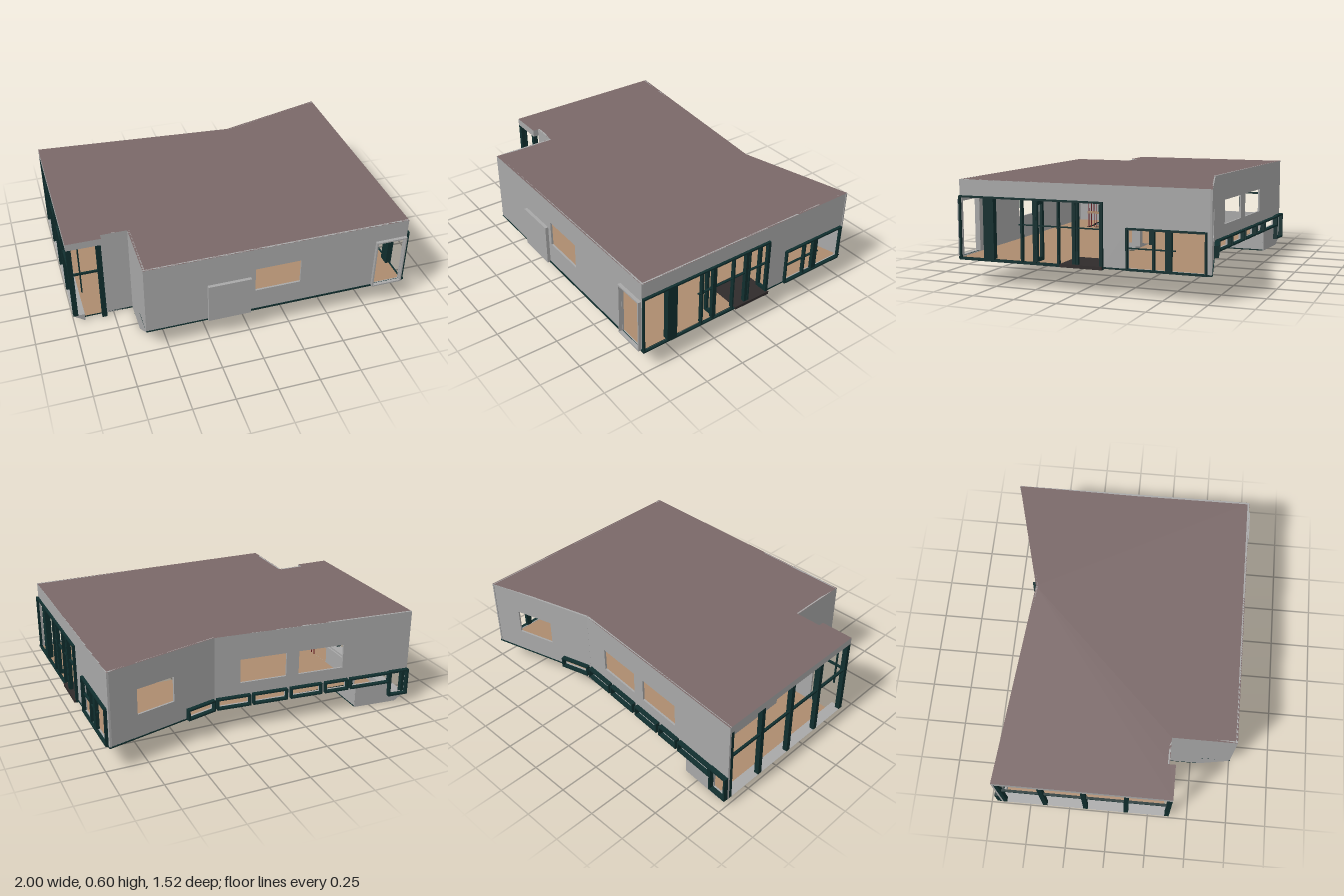
import * as THREE from 'three';

const mat = (name, color, side = THREE.FrontSide) => {
  const m = new THREE.MeshStandardMaterial({ color, side });
  m.name = name;
  return m;
};

export function createModel() {
  const model = new THREE.Group();
  model.name = 'building';
  const grey = mat('wall grey', 0xa8a8a8);
  const mauve = mat('roof mauve', 0x7a6868);
  const tan = mat('floor tan', 0xac8b6e);
  const tanSheet = mat('stair tan', 0xac8b6e, THREE.DoubleSide);
  const dark = mat('frame dark green', 0x102e2e);
  const red = mat('rod red', 0x6e1a22);
  const black = mat('mat black', 0x302b2b);

  const add = (parent, name, geo, m) => {
    const mesh = new THREE.Mesh(geo, m);
    mesh.name = name;
    parent.add(mesh);
    return mesh;
  };
  // box given by its limits
  const box = (parent, name, m, x0, x1, y0, y1, z0, z1) => {
    const mesh = add(parent, name, new THREE.BoxGeometry(x1 - x0, y1 - y0, z1 - z0), m);
    mesh.position.set((x0 + x1) / 2, (y0 + y1) / 2, (z0 + z1) / 2);
    return mesh;
  };
  const outline = (pts, holes = []) => {
    const s = new THREE.Shape(pts.map(p => new THREE.Vector2(...p)));
    for (const [a, b, c, d] of holes) {
      s.holes.push(new THREE.Path([[a, c], [a, d], [b, d], [b, c]].map(p => new THREE.Vector2(...p))));
    }
    return s;
  };
  const rect = (a, b, c, d) => [[a, c], [b, c], [b, d], [a, d]];
  const extrude = (shape, depth) => new THREE.ExtrudeGeometry(shape, { depth, bevelEnabled: false });
  // horizontal slab from plan points (x, z)
  const slab = (name, pts, y0, y1, mats, holes = []) => {
    const flip = pts.map(([x, z]) => [x, -z]);
    const geo = extrude(outline(flip, holes.map(([a, b, c, d]) => [a, b, -d, -c])), y1 - y0);
    geo.rotateX(-Math.PI / 2);
    geo.translate(0, y0, 0);
    return add(model, name, geo, mats);
  };
  // local frame along a wall: x runs p to q, z points outward
  const side = (name, [px, pz], [qx, qz]) => {
    const g = new THREE.Group();
    g.name = name;
    g.position.set(px, 0, pz);
    g.rotation.y = Math.atan2(-(qz - pz), qx - px);
    model.add(g);
    return g;
  };
  const panel = (g, name, pts, holes = [], t = 0.012) => {
    const geo = extrude(outline(pts, holes), t);
    geo.translate(0, 0, -t);
    return add(g, name, geo, grey);
  };
  const ring = (g, name, m, a, b, c, d, w, z0, z1) => {
    const geo = extrude(outline(rect(a, b, c, d), [[a + w, b - w, c + w, d - w]]), z1 - z0);
    geo.translate(0, 0, z0);
    return add(g, name, geo, m);
  };

  // roof
  slab('roof', [[-1, -0.68], [0.27, -0.57], [0.97, -0.76], [0.98, 0.74], [-0.63, 0.74],
    [-0.63, 0.35], [-0.79, 0.35], [-0.79, 0.385], [-1, 0.385]], 0.555, 0.6, [mauve, grey]);

  // main floor, open over the lower room, with a small shaft
  slab('mainFloor', [[-0.65, -0.62], [0.27, -0.57], [0.97, -0.76], [0.98, 0.74], [-0.63, 0.74],
    [-0.63, 0.55], [-0.45, 0.55], [-0.45, 0.53], [-0.3, 0.53], [-0.3, 0.165], [-0.65, 0.165]],
  0.143, 0.153, [tan, dark], [[0.19, 0.45, -0.12, 0.04]]);
  box(model, 'entranceMat', black, 0.77, 1, 0.139, 0.157, -0.15, 0.1);

  // lower floor and its walls
  slab('lowerFloor', [[-0.93, -0.67], [-0.65, -0.645], [-0.65, 0.165], [-0.3, 0.165], [-0.3, 0.34],
    [-0.45, 0.34], [-0.45, 0.55], [-0.63, 0.55], [-0.63, 0.35], [-0.93, 0.35]], 0, 0.01, [tan, dark]);
  box(model, 'lowerWallLong', grey, -0.66, -0.65, 0.008, 0.145, -0.645, 0.165);
  box(model, 'lowerWallShort', grey, -0.65, -0.3, 0.008, 0.145, 0.165, 0.175);
  box(model, 'lowerWallEnd', grey, -0.31, -0.3, 0.008, 0.145, 0.165, 0.34);
  box(model, 'stairWall', grey, -0.46, -0.45, 0, 0.145, 0.34, 0.56);

  // sloped undersides
  const wedge = extrude(outline([[-0.55, 0], [-0.55, 0.145], [-0.74, 0.145]]), 0.18);
  wedge.rotateY(Math.PI / 2);
  wedge.translate(-0.63, 0, 0);
  add(model, 'frontSlope', wedge, grey);
  const ledge = extrude(outline([[-0.93, 0], [-0.93, 0.05], [-1, 0.05]]), 1.05);
  ledge.translate(0, 0, -0.67);
  add(model, 'sideLedge', ledge, grey);

  // folded stair
  const steps = 7, rise = 0.145 / steps, run = 0.19 / steps;
  for (let i = 0; i < steps; i++) {
    const z = 0.34 + i * run, y = i * rise;
    box(model, 'riser', tanSheet, -0.45, -0.3, y, y + rise, z, z + 0.003);
    box(model, 'tread', tanSheet, -0.45, -0.3, y + rise - 0.003, y + rise, z, z + run);
  }
  const support = extrude(outline([[-0.34, 0], [-0.45, 0.07], [-0.51, 0]]), 0.008);
  support.rotateY(Math.PI / 2);
  support.translate(-0.31, 0, 0);
  add(model, 'stairSupport', support, tanSheet);

  // front wall
  const front = side('frontWall', [-0.63, 0.74], [0.98, 0.74]);
  panel(front, 'frontPanel', rect(0, 1.61, 0.15, 0.6),
    [[0.66, 0.94, 0.295, 0.455], [1.42, 1.595, 0.156, 0.475]]);
  box(front, 'frontShutter', grey, 0.37, 0.63, 0.15, 0.405, 0, 0.02);
  ring(front, 'doorSurround', grey, 1.41, 1.605, 0.15, 0.485, 0.009, 0, 0.02);
  box(front, 'frontSill', dark, 0.63, 1.63, 0.145, 0.157, -0.005, 0.004);
  box(front, 'frontSillThin', dark, 0, 0.63, 0.145, 0.151, -0.005, 0.003);

  // side wall with glazed opening and window
  const right = side('rightWall', [0.98, 0.74], [0.97, -0.76]);
  panel(right, 'rightPanel', rect(0, 1.5, 0.145, 0.6),
    [[0.005, 0.885, 0.15, 0.5], [1.035, 1.465, 0.155, 0.37]]);
  ring(right, 'largeFrame', dark, 0, 0.89, 0.138, 0.508, 0.01, -0.005, 0.016);
  box(right, 'thickPost', dark, 0.16, 0.225, 0.14, 0.505, -0.02, 0.016);
  for (const [u, w] of [[0.4, 0.012], [0.48, 0.018], [0.625, 0.01], [0.72, 0.02], [0.74, 0.01]]) {
    box(right, 'mullion', dark, u - w / 2, u + w / 2, 0.14, 0.505, -0.01, 0.014);
  }
  box(right, 'transom', dark, 0.38, 0.885, 0.355, 0.361, -0.008, 0.006);
  ring(right, 'windowFrame', dark, 1.025, 1.475, 0.145, 0.376, 0.01, -0.005, 0.018);
  for (const [u, w] of [[1.18, 0.012], [1.265, 0.035]]) {
    box(right, 'windowMullion', dark, u - w / 2, u + w / 2, 0.15, 0.37, -0.01, 0.012);
  }
  box(right, 'windowTransom', dark, 1.03, 1.3, 0.262, 0.268, -0.008, 0.006);
  box(right, 'rightSill', dark, 0.89, 1.5, 0.145, 0.152, -0.005, 0.004);
  // open door leaves
  for (const z of [0.25, -0.14]) {
    const leaf = new THREE.Group();
    leaf.name = 'doorLeaf';
    leaf.position.z = z;
    model.add(leaf);
    ring(leaf, 'leafFrame', dark, 0.905, 0.99, 0.155, 0.495, 0.022, -0.008, 0.008);
  }

  // back walls
  const backA = side('backWallA', [0.97, -0.76], [0.27, -0.57]);
  const ua = x => (0.97 - x) / 0.965;
  panel(backA, 'backPanelA', rect(0, 0.725, 0.145, 0.6),
    [[ua(0.79), ua(0.55), 0.29, 0.445], [ua(0.46), ua(0.29), 0.156, 0.205]]);
  ring(backA, 'ribbonFrame', dark, ua(0.47), ua(0.28), 0.145, 0.215, 0.01, 0, 0.028);
  box(backA, 'backSillA', dark, 0, 0.725, 0.145, 0.152, -0.005, 0.004);

  const backB = side('backWallB', [0.27, -0.57], [-1, -0.68]);
  const ub = x => (0.27 - x) / 0.9963;
  const ribbons = [[0.26, 0.05], [0.035, -0.185], [-0.205, -0.41], [-0.43, -0.585], [-0.6, -0.87]];
  panel(backB, 'backPanelB', [[0, 0.145], [ub(-0.65), 0.145], [ub(-0.65), 0], [ub(-0.93), 0],
    [ub(-1), 0.05], [ub(-1), 0.6], [0, 0.6]],
  [[ub(0.11), ub(-0.18), 0.29, 0.44], [ub(-0.26), ub(-0.55), 0.29, 0.44],
    [ub(-0.885), ub(-0.99), 0.06, 0.21],
    ...ribbons.map(([a, b]) => [ub(a) + 0.01, ub(b) - 0.01, 0.156, 0.205])]);
  for (const [a, b] of ribbons) {
    ring(backB, 'ribbonFrame', dark, ub(a), ub(b), 0.145, 0.215, 0.01, 0, 0.028);
  }
  ring(backB, 'cornerFrame', dark, ub(-0.87), ub(-1), 0.05, 0.22, 0.012, 0, 0.028);

  // recessed entrance corner
  const notch = side('notchWall', [-0.79, 0.35], [-0.63, 0.35]);
  panel(notch, 'notchPanel', rect(0, 0.16, 0, 0.6));
  const notchSide = side('notchSideWall', [-0.63, 0.35], [-0.63, 0.74]);
  panel(notchSide, 'notchSidePanel', [[0, 0], [0.2, 0], [0.39, 0.15], [0.39, 0.6], [0, 0.6]]);

  // open colonnade
  for (let i = 0; i < 5; i++) {
    const z = -0.66 + i * 0.2575;
    box(model, 'column', dark, -1, -0.97, 0.05, 0.555, z - 0.014, z + 0.014);
  }
  box(model, 'sideBeam', dark, -0.995, -0.98, 0.355, 0.367, -0.66, 0.375);
  box(model, 'cornerColumn', dark, -0.825, -0.795, 0, 0.555, 0.355, 0.383);
  box(model, 'frontBeam', dark, -0.99, -0.8, 0.355, 0.367, 0.365, 0.377);
  box(model, 'thinPost', dark, -0.935, -0.927, 0.22, 0.555, 0.365, 0.375);

  // railing, rods and inner parts
  box(model, 'parapet', grey, -0.66, -0.65, 0.15, 0.265, -0.62, -0.28);
  box(model, 'handrail', tan, -0.655, -0.635, 0.25, 0.265, -0.14, 0.165);
  box(model, 'handrail', tan, -0.31, -0.29, 0.25, 0.265, 0.165, 0.52);
  const rod = (x, z) => box(model, 'rod', red, x - 0.002, x + 0.002, 0.15, 0.556, z - 0.002, z + 0.002);
  for (let z = -0.135; z < 0.34; z += 0.034) rod(-0.645, z);
  for (let z = 0.355; z < 0.52; z += 0.02) rod(-0.3, z);
  box(model, 'innerPost', grey, 0.25, 0.3, 0.15, 0.556, -0.1, -0.05);
  box(model, 'innerColumn', dark, 0.205, 0.23, 0.15, 0.556, -0.16, -0.135);

  return model;
}
